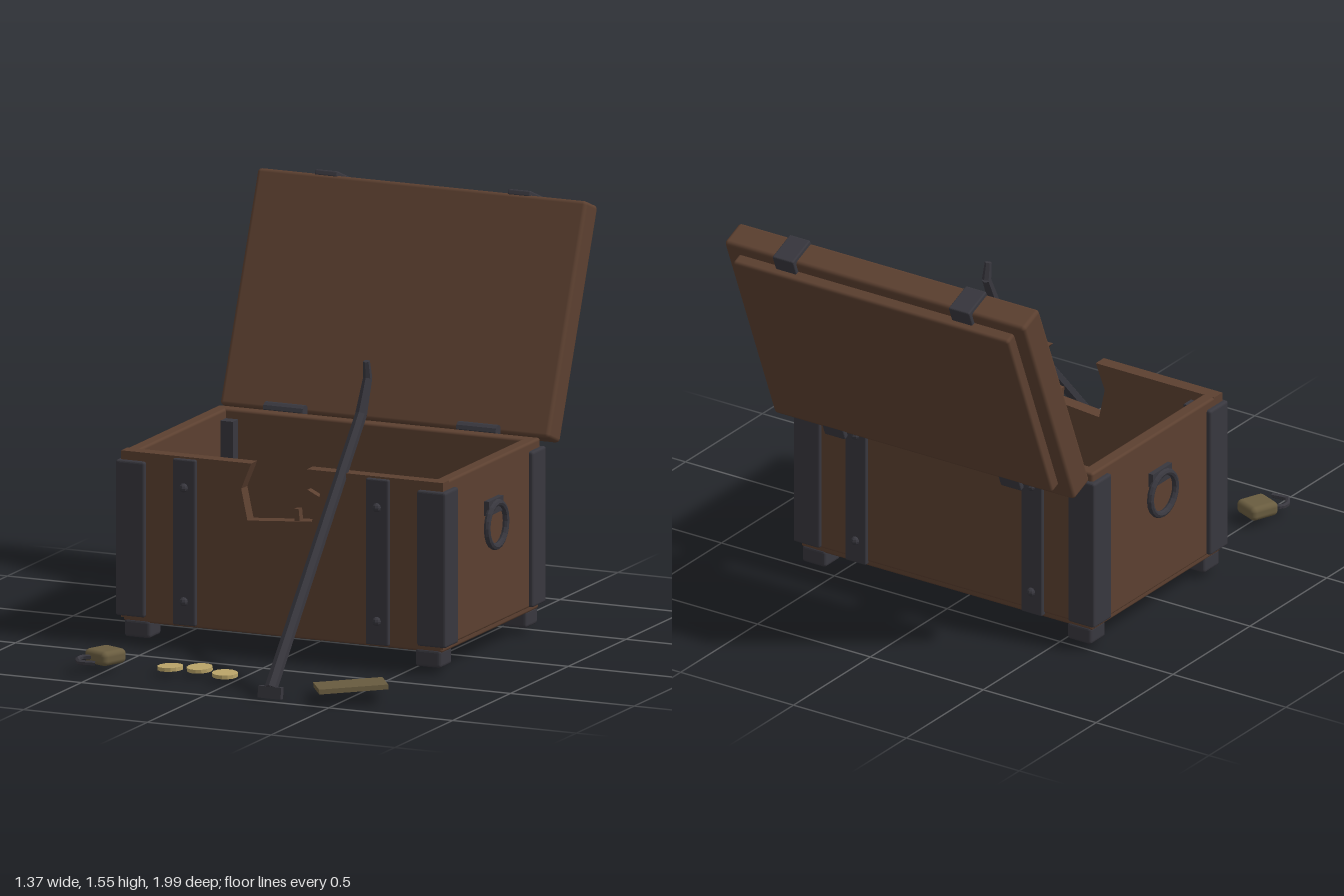
import * as THREE from 'three';
import { RoundedBoxGeometry } from 'three/addons/geometries/RoundedBoxGeometry.js';

const mat = (name, color, flatShading = false) => {
  const m = new THREE.MeshStandardMaterial({ color });
  m.name = name;
  m.flatShading = flatShading;
  return m;
};

export function createModel() {
  const wood = mat('brown wood', 0x5c4030);
  const iron = mat('dark iron', 0x38373e, true);
  const gold = mat('dull gold', 0xbaa468, true);
  const bronze = mat('old bronze', 0x6a5d40);
  const root = new THREE.Group();
  root.name = 'brokenChest';

  const add = (name, geo, material, pos = [0, 0, 0], rot = [0, 0, 0], parent = root) => {
    const m = new THREE.Mesh(geo, material);
    m.name = name;
    m.position.set(...pos);
    m.rotation.set(...rot);
    parent.add(m);
    return m;
  };
  // box from minimum and maximum corners, with optional small rounding
  const span = (name, material, a, b, r = 0, parent = root) => {
    const s = a.map((v, i) => b[i] - v);
    const c = a.map((v, i) => (v + b[i]) / 2);
    const g = r ? new RoundedBoxGeometry(...s, 2, r) : new THREE.BoxGeometry(...s);
    return add(name, g, material, c, [0, 0, 0], parent);
  };
  // tapered bar between two points
  const bar = (name, material, p, q, r0, r1, sides = 6) => {
    const a = new THREE.Vector3(...p), b = new THREE.Vector3(...q);
    const d = b.clone().sub(a);
    const m = add(name, new THREE.CylinderGeometry(r1, r0, d.length(), sides), material);
    m.position.copy(a).add(b).multiplyScalar(0.5);
    m.quaternion.setFromUnitVectors(new THREE.Vector3(0, 1, 0), d.normalize());
    return m;
  };

  // chest box: base, sides and back
  span('base', wood, [-0.645, 0.085, -0.505], [0.645, 0.14, 0.33], 0.01);
  span('backWall', wood, [-0.65, 0.105, -0.51], [0.65, 0.725, -0.457], 0.01);
  for (const s of [-1, 1]) {
    const x = [s * 0.65, s * 0.597].sort((a, b) => a - b);
    span('sideWall', wood, [x[0], 0.105, -0.5], [x[1], 0.725, 0.325], 0.01);
  }

  // front wall with a broken notch in its top edge
  const front = new THREE.Shape([
    [-0.65, 0.1], [0.65, 0.1], [0.65, 0.725], [0.1, 0.725], [0.16, 0.655],
    [0.12, 0.53], [-0.14, 0.51], [-0.165, 0.627], [-0.125, 0.725], [-0.65, 0.725],
  ].map(p => new THREE.Vector2(...p)));
  add('frontWall', new THREE.ExtrudeGeometry(front, { depth: 0.053, bevelEnabled: false }), wood, [0, 0, 0.282]);
  add('splinter', new THREE.BoxGeometry(0.02, 0.055, 0.03), wood, [0.055, 0.542, 0.31], [0, 0, 0.1]);
  add('splinter', new THREE.BoxGeometry(0.07, 0.02, 0.03), wood, [0.125, 0.622, 0.31], [0, 0, -0.45]);

  // feet, corner irons and inner posts
  for (const s of [-1, 1]) {
    for (const f of [-1, 1]) {
      const zc = -0.0875, hz = 0.4375;
      const corner = (name, x0, x1, y0, y1, z0, z1, r) => {
        const xs = [s * x0, s * x1].sort((a, b) => a - b);
        const zs = [zc + f * z0, zc + f * z1].sort((a, b) => a - b);
        span(name, iron, [xs[0], y0, zs[0]], [xs[1], y1, zs[1]], r);
      };
      corner('foot', 0.535, 0.64, 0.027, 0.095, 0.32, 0.42, 0.012);
      corner('cornerIronFace', 0.55, 0.667, 0.108, 0.692, 0.41, hz, 0.009);
      corner('cornerIronSide', 0.64, 0.667, 0.108, 0.692, 0.32, hz, 0.009);
      corner('innerPost', 0.547, 0.598, 0.14, 0.69, 0.322, 0.37, 0);
    }
  }

  // upright straps with rivets, front and back
  for (const x of [-0.39, 0.39]) {
    for (const [z, f] of [[0.338, 1], [-0.513, -1]]) {
      span('strap', iron, [x - 0.046, 0.095, z - 0.012], [x + 0.046, 0.718, z + 0.012], 0.006);
      for (const y of [0.185, 0.612]) {
        add('rivet', new THREE.SphereGeometry(0.017, 8, 6), iron, [x, y, z + f * 0.013]);
      }
    }
    // hinge barrels
    add('hinge', new THREE.CylinderGeometry(0.024, 0.024, 0.16, 10), iron, [x, 0.727, -0.528], [0, 0, Math.PI / 2]);
  }

  // ring handles
  for (const s of [-1, 1]) {
    add('handlePlate', new THREE.BoxGeometry(0.022, 0.055, 0.125), iron, [s * 0.659, 0.557, -0.083]);
    add('handleRing', new THREE.TorusGeometry(0.082, 0.013, 8, 20), iron, [s * 0.672, 0.487, -0.083], [0, Math.PI / 2, 0]);
  }

  // open lid, built upright and leaned back about its lower inner edge
  const lid = new THREE.Group();
  lid.name = 'lid';
  lid.position.set(0, 0.717, -0.545);
  lid.rotation.x = -0.382;
  root.add(lid);
  span('lidSlab', wood, [-0.665, 0, -0.112], [0.665, 0.887, 0], 0.015, lid);
  span('lidPanel', wood, [-0.61, 0.06, -0.156], [0.61, 0.842, -0.1], 0.012, lid);
  for (const x of [-0.39, 0.39]) {
    span('lidStrap', iron, [x - 0.046, -0.015, -0.128], [x + 0.046, 0.9, -0.105], 0.006, lid);
    span('lidStrapTop', iron, [x - 0.046, 0.88, -0.128], [x + 0.046, 0.903, -0.003], 0.006, lid);
  }

  // crowbar leaning through the broken front
  const bend = [[0.24, 0.04, 0.945], [0.24, 0.91, 0.165], [0.24, 1.035, 0.108], [0.24, 1.1, 0.119]];
  const radii = [0.024, 0.022, 0.017, 0.013];
  for (let i = 0; i < 3; i++) {
    bar('crowbar', iron, bend[i], bend[i + 1], radii[i], radii[i + 1]);
  }
  add('crowbarFoot', new THREE.BoxGeometry(0.093, 0.044, 0.022), iron, [0.24, 0.026, 0.948], [-0.1, 0, 0]);

  // coins on the ground and inside
  const coin = new THREE.CylinderGeometry(0.048, 0.048, 0.014, 14);
  const coins = [
    [-0.26, 0.031, 0.745], [-0.155, 0.031, 0.715], [-0.03, 0.031, 0.765],
    [-0.02, 0.148, -0.1], [0.275, 0.148, -0.13], [0.1, 0.148, -0.03],
    [0.19, 0.154, -0.005], [0.12, 0.152, 0.07],
  ];
  coins.forEach((p, i) => add('coin', coin, gold, p, [0.03 * (i % 2), i, 0.04]));

  // torn-off lock plate
  const plate = new THREE.Group();
  plate.name = 'lockPlate';
  plate.position.set(0.507, 0.051, 0.825);
  plate.rotation.set(-0.06, 0, 0.1);
  root.add(plate);
  add('plate', new THREE.BoxGeometry(0.255, 0.018, 0.235), bronze, [0, 0, 0], [0, 0.53, 0], plate);

  // padlock with open shackle
  add('padlock', new RoundedBoxGeometry(0.115, 0.055, 0.118, 3, 0.02), bronze, [-0.512, 0.056, 0.766], [0, -0.38, 0]);
  const loop = [[-0.53, 0.056, 0.8], [-0.58, 0.054, 0.82], [-0.583, 0.053, 0.855], [-0.556, 0.052, 0.895], [-0.495, 0.052, 0.888]];
  const path = new THREE.CatmullRomCurve3(loop.map(p => new THREE.Vector3(...p)), false, 'catmullrom', 0.2);
  add('shackle', new THREE.TubeGeometry(path, 16, 0.01, 6), iron);

  return root;
}
